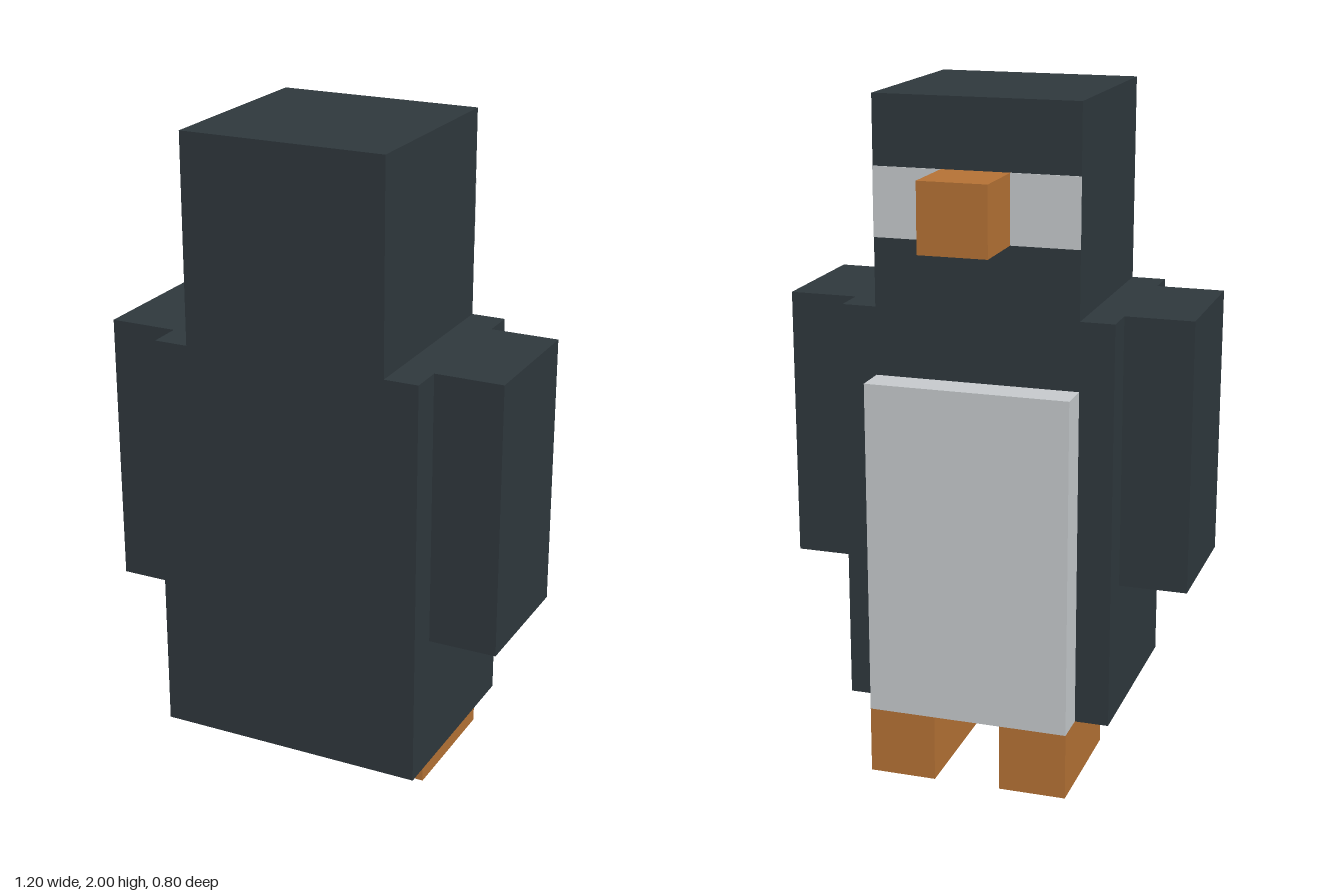
import * as THREE from 'three';

const material = (name, color) => {
  const m = new THREE.MeshStandardMaterial({ color });
  m.name = name;
  return m;
};

export function createModel() {
  const group = new THREE.Group();
  group.name = 'penguin';
  const dark = material('dark plumage', 0x2f383d);
  const white = material('pale plumage', 0xc6cacd);
  const orange = material('orange', 0xb57235);

  // Box given by its extents along each axis
  const box = (name, mat, [x0, x1], [y0, y1], [z0, z1]) => {
    const mesh = new THREE.Mesh(new THREE.BoxGeometry(x1 - x0, y1 - y0, z1 - z0), mat);
    mesh.position.set((x0 + x1) / 2, (y0 + y1) / 2, (z0 + z1) / 2);
    mesh.name = name;
    group.add(mesh);
  };

  // Body, head, belly and beak; the face looks towards -z
  box('body', dark, [-0.4, 0.4], [0.2, 1.4], [-0.2, 0.4]);
  box('head', dark, [-0.3, 0.3], [1.4, 2], [-0.2, 0.4]);
  box('belly', white, [-0.3, 0.3], [0.2, 1.2], [-0.3, -0.2]);
  box('beak', orange, [-0.1, 0.1], [1.6, 1.8], [-0.4, -0.2]);

  // Mirrored pairs: wings, feet and thin eye patches beside the beak
  for (const [side, s] of [['left', 1], ['right', -1]]) {
    const span = (a, b) => (s > 0 ? [a, b] : [-b, -a]);
    box(side + 'Wing', dark, span(0.4, 0.6), [0.6, 1.4], [-0.1, 0.3]);
    box(side + 'Foot', orange, span(0.1, 0.3), [0, 0.2], [-0.3, 0.1]);
    box(side + 'Eye', white, span(0.1, 0.3), [1.6, 1.8], [-0.203, -0.199]);
  }
  return group;
}
